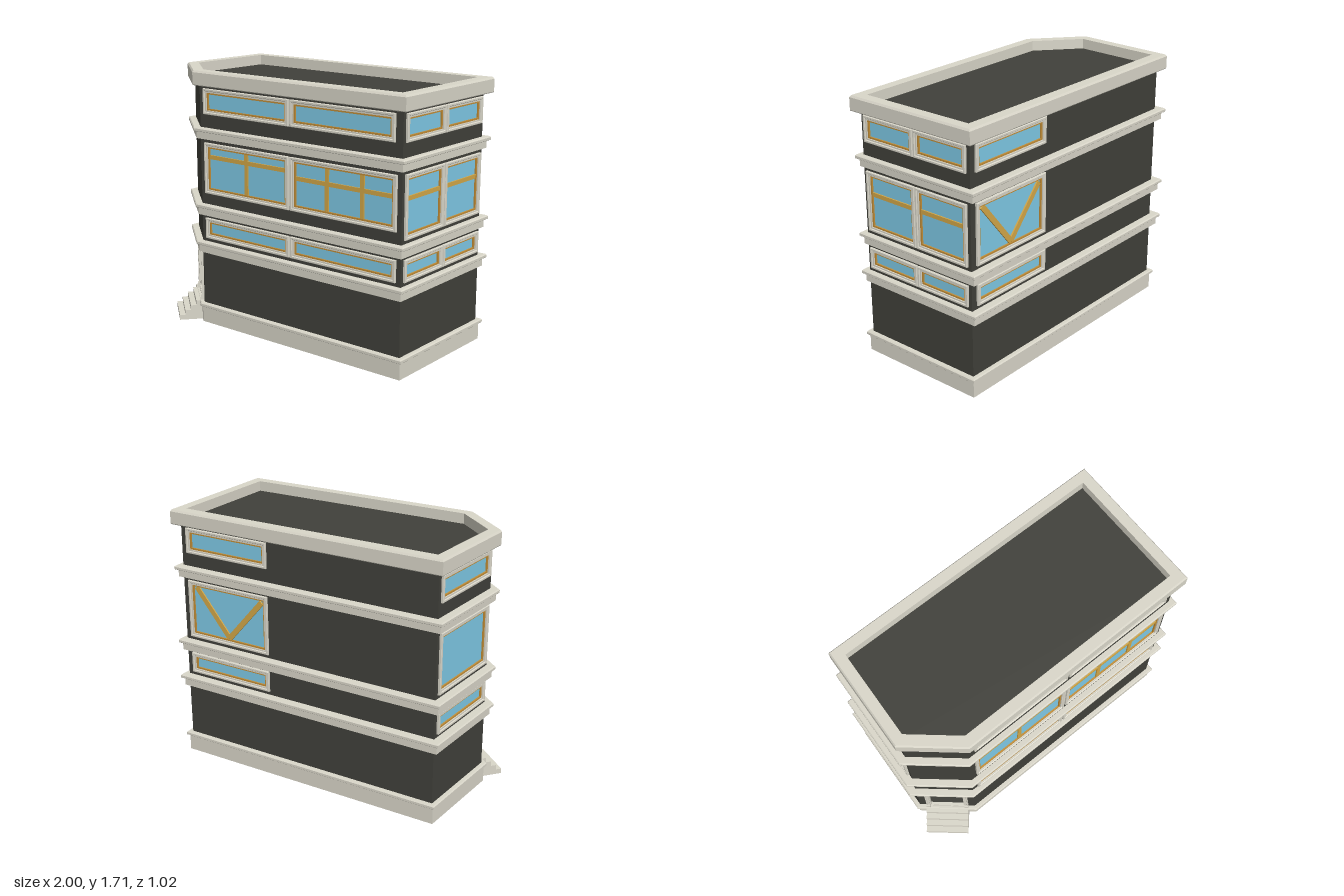
import * as THREE from 'three';

const mat = (name, color, extra = {}) => {
  const m = new THREE.MeshStandardMaterial({ color, ...extra });
  m.name = name;
  return m;
};

// Footprint corners as [x, z]: entrance corner, front, right end, back, left end
const FOOT = [[-0.926, 0.165], [-0.638, 0.41], [0.952, 0.395], [0.952, -0.46], [-0.89, -0.46]];

// Moves every edge of a loop outwards by d, with mitred corners
function offset(loop, d) {
  const n = loop.length;
  const normal = (i) => {
    const a = loop[i % n], b = loop[(i + 1) % n];
    const l = Math.hypot(b[0] - a[0], b[1] - a[1]);
    return [-(b[1] - a[1]) / l, (b[0] - a[0]) / l];
  };
  return loop.map((p, i) => {
    const u = normal(i + n - 1), v = normal(i);
    const k = d / (1 + u[0] * v[0] + u[1] * v[1]);
    return [p[0] + (u[0] + v[0]) * k, p[1] + (u[1] + v[1]) * k];
  });
}

// Sweeps a closed profile of [offset, height] points round a loop
function sweep(loop, profile) {
  const rings = profile.map(([d, h]) => offset(loop, d).map(([x, z]) => [x, h, z]));
  const pos = [];
  rings.forEach((low, k) => {
    const high = rings[(k + 1) % rings.length];
    low.forEach((_, i) => {
      const j = (i + 1) % loop.length;
      pos.push(...low[i], ...low[j], ...high[j], ...low[i], ...high[j], ...high[i]);
    });
  });
  const g = new THREE.BufferGeometry();
  g.setAttribute('position', new THREE.Float32BufferAttribute(pos, 3));
  g.computeVertexNormals();
  return g;
}

// Same sweep standing upright on a wall, and the loop as upright 2D points
const upSweep = (loop, profile) => sweep(loop, profile).rotateX(Math.PI / 2);
const points = (loop) => loop.map(([x, z]) => new THREE.Vector2(x, -z));
const rectLoop = (x0, x1, y0, y1) => [[x0, -y0], [x1, -y0], [x1, -y1], [x0, -y1]];

export function createModel() {
  const stone = mat('pale stone', 0xdad7ca);
  const wall = mat('dark wall', 0x41413b, { side: THREE.DoubleSide });
  const doorPaint = mat('door grey', 0x494943, { side: THREE.DoubleSide });
  const gold = mat('gold trim', 0xc48f38);
  const yellow = mat('yellow glazing bar', 0xd4a848);
  const glass = mat('blue glass', 0x80cbe8);

  const model = new THREE.Group();
  model.name = 'building';
  const add = (parent, name, geometry, material, x = 0, y = 0, z = 0) => {
    const m = new THREE.Mesh(geometry, material);
    m.name = name;
    m.position.set(x, y, z);
    parent.add(m);
    return m;
  };

  // Wall sides; each group has x along the wall and z outwards
  const deckY = 1.64;
  const sides = ['entrance', 'front', 'right', 'back', 'left'].map((name, i) => {
    const a = FOOT[i], b = FOOT[(i + 1) % FOOT.length];
    const group = new THREE.Group();
    group.name = name + 'Side';
    group.position.set(a[0], 0, a[1]);
    group.rotation.y = Math.atan2(a[1] - b[1], b[0] - a[0]);
    model.add(group);
    return { name, group, length: Math.hypot(b[0] - a[0], b[1] - a[1]), openings: [] };
  });
  const [entrance, front, right, back, left] = sides;

  // Flat roof
  const roof = new THREE.Shape(points(offset(FOOT, -0.02)));
  add(model, 'roofDeck', new THREE.ShapeGeometry(roof).rotateX(-Math.PI / 2), wall, 0, deckY);

  // Plinth, cornices and parapet
  const ledge = (name, inner, y0, y1, d, lip) => add(model, name, sweep(FOOT, [
    [inner, y0], [d, y0], [d, y1 - 0.027], [lip - 0.003, y1 - 0.025], [lip, y1 - 0.022],
    [lip, y1 - 0.007], [lip - 0.006, y1], [inner, y1],
  ]), stone);
  ledge('plinth', 0.002, 0, 0.135, 0.015, 0.031);
  [['lowerCornice', 0.492, 0.57], ['middleCornice', 0.75, 0.826], ['upperCornice', 1.262, 1.336]]
    .forEach(([name, y0, y1]) => ledge(name, -0.012, y0, y1, 0.026, 0.045).position.set(-0.01, 0, -0.006));
  add(model, 'parapet', sweep(FOOT, [
    [-0.028, 1.611], [0.043, 1.611], [0.046, 1.616], [0.046, 1.695], [0.038, 1.707], [-0.028, 1.707],
  ]), stone);

  // Recessed window: frame, trim, pane and glazing bars ([x0, y0, x1, y1] each)
  function makeWindow(side, x0, x1, y0, y1, bars = [], barWidth = 0.027) {
    const w = new THREE.Group();
    w.name = 'window';
    side.group.add(w);
    const rect = rectLoop(x0, x1, y0, y1);
    side.openings.push(offset(rect, -0.004));
    add(w, 'windowFrame', upSweep(rect, [
      [-0.026, -0.018], [0, -0.018], [0, 0.013], [-0.003, 0.016], [-0.013, 0.016], [-0.017, 0.01], [-0.026, 0.01],
    ]), stone);
    add(w, 'windowTrim', upSweep(rect, [[-0.037, -0.016], [-0.025, -0.016], [-0.025, 0.002], [-0.037, 0.002]]), gold);
    add(w, 'windowPane', new THREE.BoxGeometry(x1 - x0 - 0.06, y1 - y0 - 0.06, 0.004), glass,
      (x0 + x1) / 2, (y0 + y1) / 2, -0.01);
    bars.forEach(([ax, ay, bx, by]) => {
      const bar = add(w, 'glazingBar', new THREE.BoxGeometry(Math.hypot(bx - ax, by - ay), barWidth, 0.014),
        yellow, (ax + bx) / 2, (ay + by) / 2, -0.006);
      bar.rotation.z = Math.atan2(by - ay, bx - ax);
    });
  }

  const lower = [0.594, 0.732], upper = [1.425, 1.592];
  const across = (x0, x1, y) => [x0 + 0.03, y, x1 - 0.03, y];
  const upright = (x, y0, y1) => [x, y0 + 0.03, x, y1 - 0.03];

  // Front windows
  const F = 0.638;
  const fa = [F - 0.6, F + 0.114], fb = [F + 0.126, F + 0.92];
  for (const band of [lower, upper]) {
    makeWindow(front, ...fa, ...band);
    makeWindow(front, fb[0], F + (band === lower ? 0.92 : 0.902), ...band);
  }
  makeWindow(front, ...fa, 0.9, 1.238, [across(...fa, 1.145), upright(F - 0.245, 0.9, 1.238)]);
  makeWindow(front, ...fb, 0.9, 1.238,
    [across(...fb, 1.107), upright(F + 0.405, 0.9, 1.238), upright(F + 0.668, 0.9, 1.238)]);

  // Right end windows, in pairs
  for (const x0 of [0.024, 0.431]) {
    const x1 = x0 + 0.401;
    makeWindow(right, x0, x1, ...lower);
    makeWindow(right, x0, x1, 0.85, 1.24, [across(x0, x1, 1.093)]);
    makeWindow(right, x0, x1, ...upper);
  }

  // Back windows near the right end, the middle one with crossing braces
  makeWindow(back, 0.04, 0.66, ...lower);
  makeWindow(back, 0.04, 0.66, ...upper);
  makeWindow(back, 0.04, 0.66, 0.85, 1.24, [[0.1, 1.2, 0.35, 0.895], [0.35, 0.895, 0.61, 1.19]], 0.036);

  // Left end windows
  for (const band of [lower, [0.85, 1.24], upper]) makeWindow(left, 0.025, 0.6, ...band);

  // Recessed door with clipped upper corners
  const cx = 0.191;
  const arch = (w, y0, y1, c) => [[cx - w, -y0], [cx + w, -y0], [cx + w, c - y1],
    [cx + w - c, -y1], [cx - w + c, -y1], [cx - w, c - y1]];
  const doorway = arch(0.143, 0.125, 0.485, 0.012);
  entrance.openings.push(offset(doorway, -0.004));
  add(entrance.group, 'doorFrame', upSweep(doorway, [
    [-0.024, -0.018], [0, -0.018], [0, 0.016], [-0.008, 0.016], [-0.01, 0.012], [-0.024, 0.012],
  ]), stone);
  add(entrance.group, 'doorInnerFrame', upSweep(arch(0.12, 0.145, 0.472, 0.03), [
    [-0.008, -0.018], [0, -0.018], [0, 0.008], [-0.008, 0.008],
  ]), stone);
  const leaf = new THREE.Shape(points(arch(0.121, 0.13, 0.468, 0.012)));
  add(entrance.group, 'door', new THREE.ShapeGeometry(leaf), doorPaint, 0, 0, -0.012);
  for (const s of [-1, 1]) {
    add(entrance.group, 'doorPlinth', new THREE.BoxGeometry(0.028, 0.04, 0.022), stone, cx + s * 0.131, 0.152, 0.012);
  }

  // Entrance steps
  [0.17, 0.132, 0.094, 0.056].forEach((reach, i) => {
    add(entrance.group, 'step', new THREE.BoxGeometry(0.29, 0.033, reach - 0.004), stone,
      cx, 0.033 * (i + 0.5), (reach + 0.004) / 2);
  });

  // Wall panels with their window and door openings
  for (const { name, group, length, openings } of sides) {
    const panel = new THREE.Shape(points(rectLoop(0, length, 0, deckY)));
    panel.holes = openings.map((o) => new THREE.Path(points(o)));
    add(group, name + 'Wall', new THREE.ShapeGeometry(panel), wall);
  }

  return model;
}
